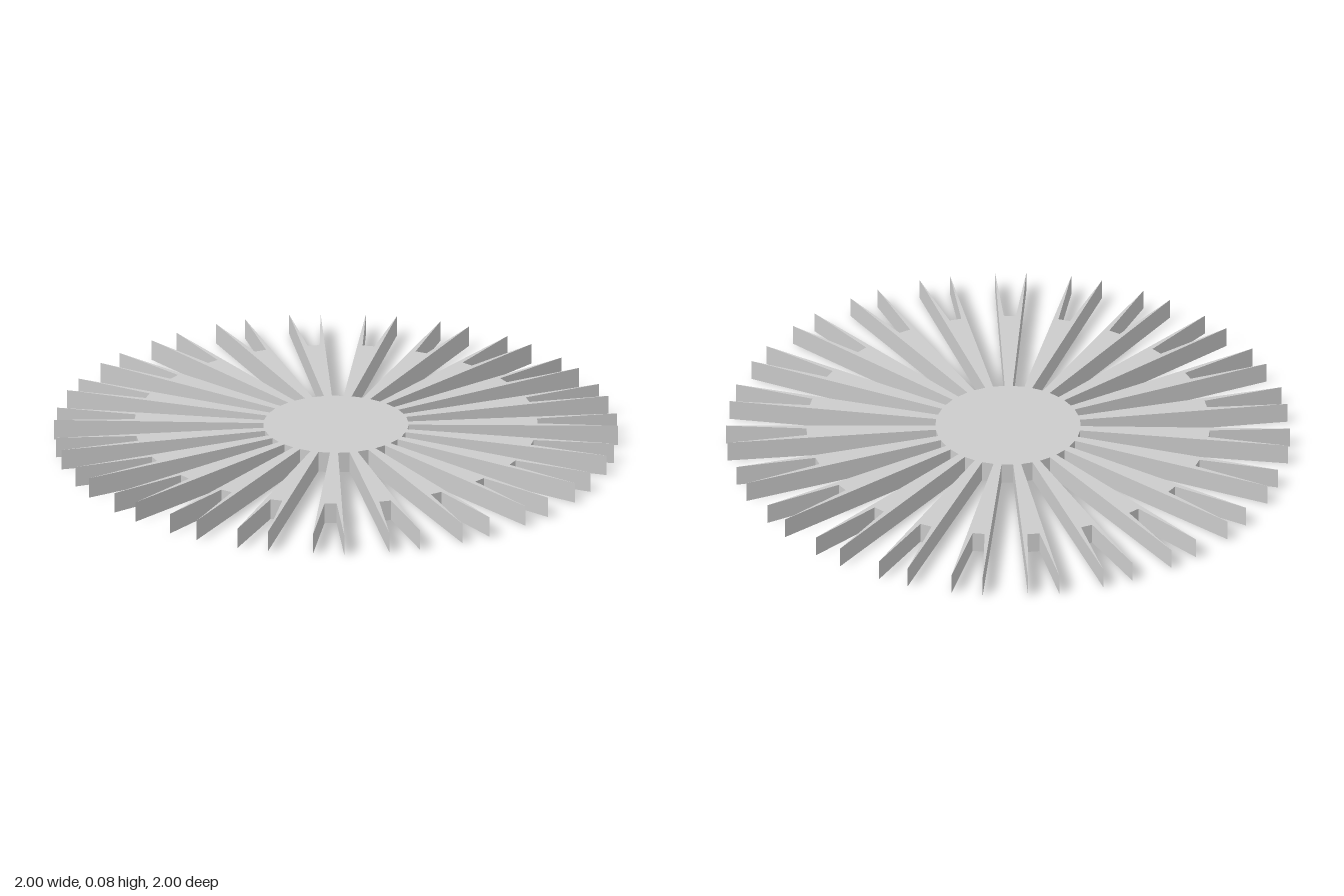
import * as THREE from 'three';

const SPOKES = 23;
const THICKNESS = 0.075;
const HUB_RADIUS = 0.258;
const NOTCH_RADIUS = 0.716;
const TIP_RADIUS = 1.002;
const HALF_SPOKE = THREE.MathUtils.degToRad(3.2); // half the angle a spoke covers

export function createModel() {
  const group = new THREE.Group();
  group.name = 'forkedStarDisc';

  // One spoke as [radius, angle] corners: hub, tip, notch floor, tip, hub
  const notchAngle = 0.0215 / NOTCH_RADIUS;
  const corners = [
    [HUB_RADIUS, -HALF_SPOKE],
    [TIP_RADIUS, -HALF_SPOKE],
    [NOTCH_RADIUS, -notchAngle],
    [NOTCH_RADIUS, notchAngle],
    [TIP_RADIUS, HALF_SPOKE],
    [HUB_RADIUS, HALF_SPOKE],
  ];

  // Repeat the spoke around the hub into one closed outline
  const points = [];
  for (let i = 0; i < SPOKES; i++) {
    const turn = (i / SPOKES) * Math.PI * 2;
    for (const [r, a] of corners) {
      points.push(new THREE.Vector2(r * Math.cos(turn + a), r * Math.sin(turn + a)));
    }
  }

  // Flat plate lying on the ground
  const geometry = new THREE.ExtrudeGeometry(new THREE.Shape(points), {
    depth: THICKNESS,
    bevelEnabled: false,
  });
  geometry.rotateX(-Math.PI / 2);

  const plate = new THREE.Mesh(
    geometry,
    new THREE.MeshStandardMaterial({ color: 0xcccccc, flatShading: true })
  );
  plate.name = 'hubWithForkedSpokes';
  group.add(plate);
  return group;
}
